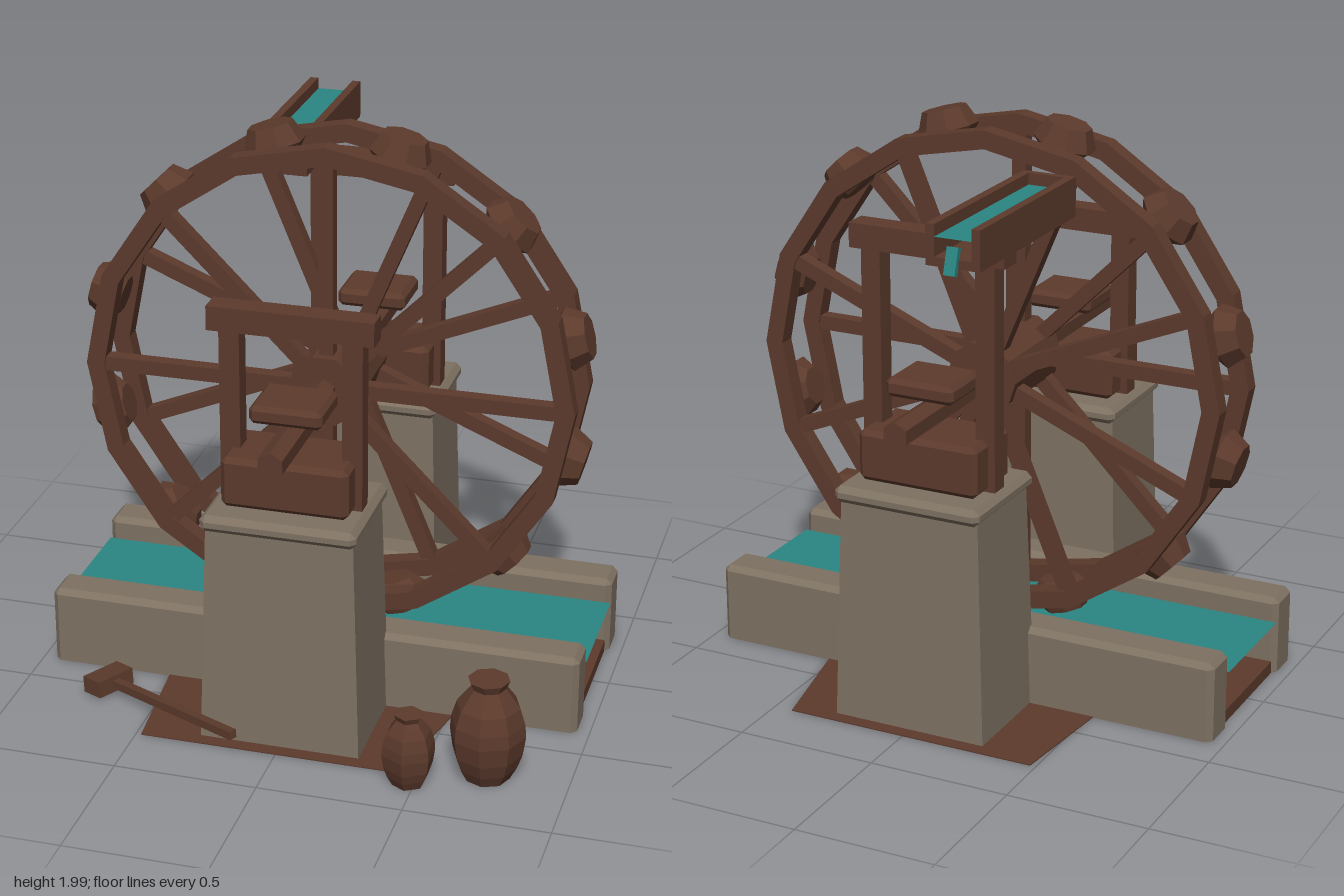
import * as THREE from 'three';
import { ConvexGeometry } from 'three/addons/geometries/ConvexGeometry.js';

const make = (name, color, extra = {}) => Object.assign(new THREE.MeshStandardMaterial({ color, ...extra }), { name });

export function createModel() {
  const model = new THREE.Group();
  model.name = 'waterMill';
  const wood = make('wood', 0x5c3a2c);
  const stone = make('stone', 0x7e7162);
  const water = make('water', 0x2a8582, { side: THREE.DoubleSide });

  // faceted mesh helper
  const add = (name, geo, mat, x = 0, y = 0, z = 0, parent = model) => {
    const g = geo.index ? geo.toNonIndexed() : geo;
    g.computeVertexNormals();
    const m = new THREE.Mesh(g, mat);
    m.name = name;
    m.position.set(x, y, z);
    parent.add(m);
    return m;
  };
  // box with cut edges; the foot can stay sharp
  const chamferBox = (w, h, d, b, sharpFoot) => {
    const points = [];
    for (const x of [-1, 1]) for (const y of [-1, 1]) for (const z of [-1, 1]) {
      const X = x * w / 2, Y = y * h / 2, Z = z * d / 2;
      const cut = y < 0 && sharpFoot ? 0 : y * b;
      points.push(new THREE.Vector3(X - x * b, Y - cut, Z), new THREE.Vector3(X, Y - cut, Z - z * b));
      if (cut) points.push(new THREE.Vector3(X - x * b, Y, Z - z * b));
    }
    return new ConvexGeometry(points);
  };
  // box given by its limits, with an optional chamfer
  const box = (name, mat, x0, x1, y0, y1, z0, z1, bevel = 0, parent = model, sharpFoot = false) => {
    const w = x1 - x0, h = y1 - y0, d = z1 - z0;
    const g = bevel ? chamferBox(w, h, d, bevel, sharpFoot) : new THREE.BoxGeometry(w, h, d);
    return add(name, g, mat, (x0 + x1) / 2, (y0 + y1) / 2, (z0 + z1) / 2, parent);
  };
  const polygon = (r, n) => Array.from({ length: n }, (_, i) => {
    const a = (i / n) * Math.PI * 2;
    return new THREE.Vector2(r * Math.cos(a), r * Math.sin(a));
  });

  // wheel: two rims with staggered spokes, hub, axle and scoops between the rims
  const wheel = new THREE.Group();
  wheel.name = 'wheel';
  wheel.position.y = 1.09;
  model.add(wheel);
  const ring = new THREE.Shape(polygon(0.87, 16));
  ring.holes.push(new THREE.Path(polygon(0.805, 16)));
  for (const side of [1, -1]) {
    const z = side * 0.13;
    add('rim', new THREE.ExtrudeGeometry(ring, { depth: 0.064, bevelEnabled: false }), wood, 0, 0, z - 0.032, wheel);
    for (let i = 0; i < 8; i++) {
      const a = ((i + (side > 0 ? 0 : 0.5)) / 8) * Math.PI * 2;
      const s = add('spoke', new THREE.BoxGeometry(0.75, 0.052, 0.05), wood, 0.455 * Math.cos(a), 0.455 * Math.sin(a), z, wheel);
      s.rotation.z = a;
    }
  }
  const hub = add('hub', new THREE.CylinderGeometry(0.13, 0.13, 0.37, 10).rotateY(Math.PI / 10), wood, 0, 0, 0, wheel);
  hub.rotation.x = Math.PI / 2;
  const axle = add('axle', new THREE.CylinderGeometry(0.048, 0.048, 1.61, 6), wood, 0, 0, 0, wheel);
  axle.rotation.x = Math.PI / 2;
  const scoopProfile = [[0, -0.06], [0.07, -0.06], [0.111, -0.015], [0.08, 0.055], [0, 0.055]].map(p => new THREE.Vector2(...p));
  for (let i = 0; i < 12; i++) {
    const a = ((i + 0.5) / 12) * Math.PI * 2;
    const g = new THREE.LatheGeometry(scoopProfile, 8).rotateY(Math.PI / 8).scale(1, 1, 0.88);
    const s = add('scoop', g, wood, 0.86 * Math.cos(a), 0.86 * Math.sin(a), 0.008, wheel);
    s.rotation.z = a - Math.PI / 2;
  }

  // stone piers with bearings and timber frames, front and back
  for (const side of [1, -1]) {
    const pier = new THREE.Group();
    pier.name = side > 0 ? 'frontSupport' : 'backSupport';
    pier.position.z = side * 0.537;
    model.add(pier);
    const g = new THREE.BoxGeometry(0.56, 0.8, 0.4);
    const p = g.attributes.position;
    for (let i = 0; i < p.count; i++) {
      if (p.getY(i) > 0) p.setXYZ(i, p.getX(i) * 0.91, p.getY(i), p.getZ(i) * 0.91);
    }
    add('pier', g, stone, 0, 0.4, 0, pier);
    box('pierCap', stone, -0.27, 0.27, 0.79, 0.85, -0.215, 0.215, 0.02, pier);
    box('bearingBlock', wood, -0.22, 0.22, 0.85, 1.03, -0.128, 0.128, 0.018, pier);
    box('bearingCap', wood, -0.125, 0.125, 1.155, 1.22, -0.108, 0.108, 0.016, pier);
    const top = side > 0 ? 1.53 : 1.715;
    for (const x of [-0.21, 0.21]) box('post', wood, x - 0.035, x + 0.035, 0.85, top - 0.08, -0.035, 0.035, 0, pier);
    box('crossBeam', wood, -0.285, 0.285, top - 0.085, top, -0.043, 0.043, 0, pier);

    // trodden earth around the pier
    const outline = [[-0.32, 0.22], [0.32, 0.22], [0.52, 0.37], [0.43, 0.785], [-0.48, 0.785], [-0.52, 0.37]];
    const earth = new THREE.Shape(outline.map(q => new THREE.Vector2(q[0], -side * q[1])));
    add('earth', new THREE.ExtrudeGeometry(earth, { depth: 0.004, bevelEnabled: false }).rotateX(-Math.PI / 2), wood);

    // channel wall
    const zc = side * 0.299;
    box('channelWall', stone, -0.955, 0.955, 0, 0.285, zc - 0.074, zc + 0.074, 0.02, model, true);
  }

  // channel floor and stream
  box('channelFloor', wood, -0.94, 0.94, 0, 0.045, -0.225, 0.225);
  add('stream', new THREE.PlaneGeometry(1.91, 0.445).rotateX(-Math.PI / 2), water, 0, 0.2, 0);

  // flume with its water, closed at the wheel end
  box('flumeFloor', wood, -0.36, -0.17, 1.72, 1.75, -0.9, -0.205);
  for (const x of [-0.36, -0.2]) box('flumeSide', wood, x, x + 0.03, 1.72, 1.855, -0.9, -0.205);
  box('flumeEnd', wood, -0.33, -0.2, 1.75, 1.855, -0.23, -0.205);
  add('flumeWater', new THREE.PlaneGeometry(0.13, 0.67).rotateX(-Math.PI / 2), water, -0.265, 1.815, -0.565);
  const drip = add('drip', new THREE.BoxGeometry(0.04, 0.09, 0.02), water, -0.265, 1.745, -0.905);
  drip.rotation.x = 0.3;

  // slab leaning on the back pier
  const slab = new THREE.Shape([[0.36, 0], [0.52, 0], [0.495, 0.165], [0.42, 0.21], [0.36, 0.21]].map(q => new THREE.Vector2(...q)));
  add('slab', new THREE.ExtrudeGeometry(slab, { depth: 0.02, bevelEnabled: false }).rotateY(Math.PI / 2), wood, 0.27, 0, 0);

  // clay jars
  const jar = (x, z, r, h, sides) => {
    const profile = [[0, 0], [0.6, 0], [0.78, 0.12], [0.92, 0.26], [1, 0.45], [0.97, 0.58], [0.83, 0.74], [0.6, 0.85], [0.45, 0.92], [0.55, 1], [0, 1]];
    add('jar', new THREE.LatheGeometry(profile.map(q => new THREE.Vector2(q[0] * r, q[1] * h)), sides), wood, x, 0, z);
  };
  jar(0.72, 0.715, 0.13, 0.37, 8);
  jar(0.477, 0.83, 0.093, 0.265, 6);

  // mallet lying on the ground
  const mallet = new THREE.Group();
  mallet.name = 'mallet';
  mallet.position.set(-0.695, 0.038, 0.522);
  mallet.rotation.set(0, -0.52, 0.085);
  model.add(mallet);
  box('malletHead', wood, -0.043, 0.043, -0.03, 0.03, -0.077, 0.077, 0, mallet);
  box('malletHandle', wood, 0.03, 0.655, -0.015, 0.015, -0.015, 0.015, 0, mallet);

  return model;
}
